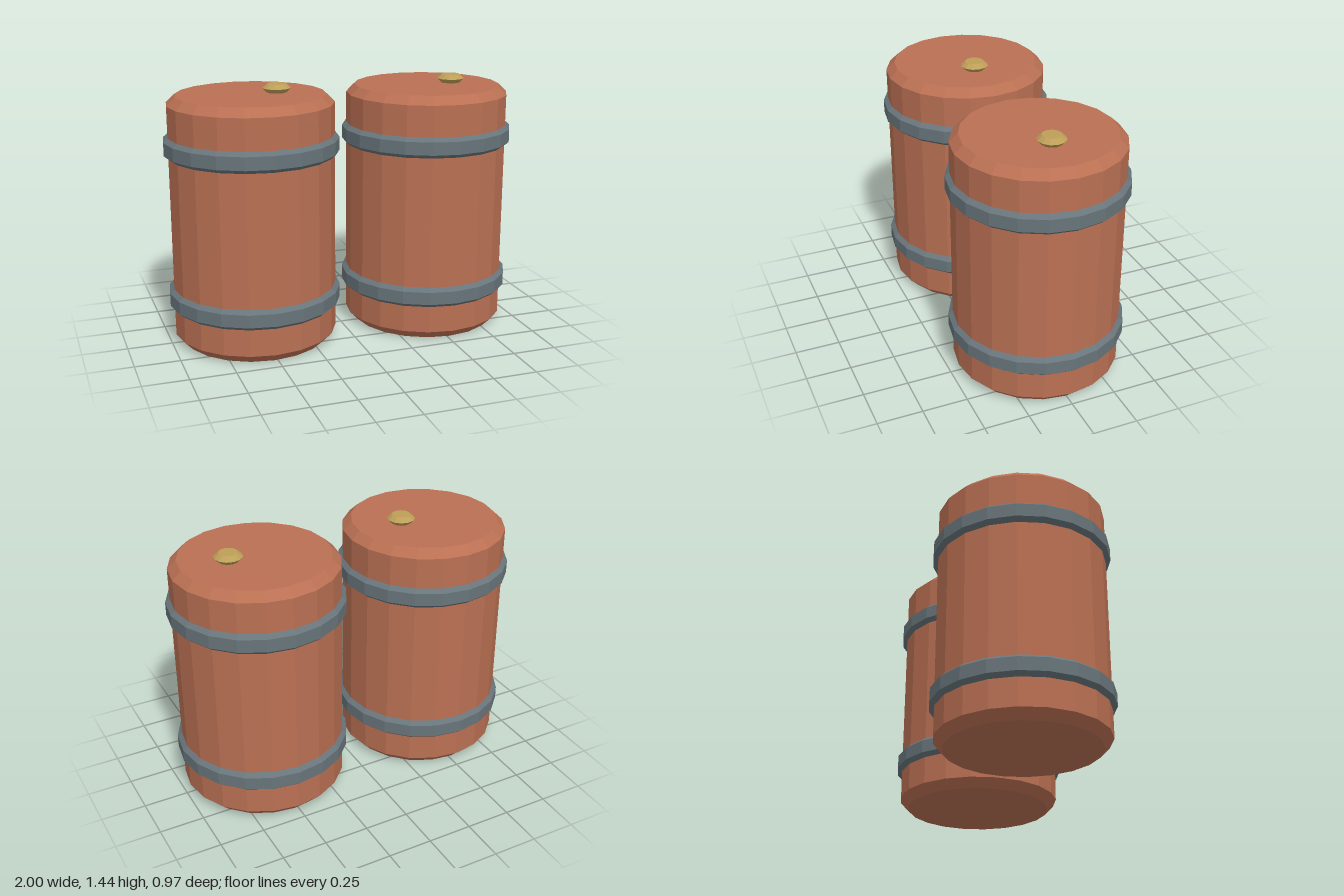
import * as THREE from 'three';

const material = (color) => new THREE.MeshStandardMaterial({ color, flatShading: true });

// Revolve a bottom-to-top [radius, height] profile around y
function turned(name, profile, sides, mat) {
  const points = profile.map(([r, y]) => new THREE.Vector2(r, y));
  const mesh = new THREE.Mesh(new THREE.LatheGeometry(points, sides), mat);
  mesh.name = name;
  return mesh;
}

export function createModel() {
  const model = new THREE.Group();
  model.name = 'barrelPair';
  const rust = material(0xba7053);
  const steel = material(0x68757b);
  const brass = material(0xbd9f58);
  const sides = 20;

  for (const [name, x] of [['rightBarrel', -0.517], ['leftBarrel', 0.517]]) {
    const barrel = new THREE.Group();
    barrel.name = name;
    barrel.position.x = x;

    // Closed drum with chamfered rims
    barrel.add(turned('drum', [
      [0, 0], [0.41, 0], [0.458, 0.05], [0.458, 1.345], [0.41, 1.39], [0, 1.39],
    ], sides, rust));

    // Chamfered hoops
    [['lowerHoop', 0.26], ['upperHoop', 1.115]].forEach(([hoopName, y]) => {
      const hoop = turned(hoopName, [
        [0.455, -0.06], [0.483, -0.036], [0.483, 0.036], [0.455, 0.06],
      ], sides, steel);
      hoop.position.y = y;
      barrel.add(hoop);
    });

    // Off-centre bung on the lid
    const bung = turned('bung', [
      [0, 0], [0.055, 0], [0.078, 0.024], [0.052, 0.047], [0, 0.047],
    ], 12, brass);
    bung.position.set(0.148, 1.39, 0);
    barrel.add(bung);

    model.add(barrel);
  }
  return model;
}
